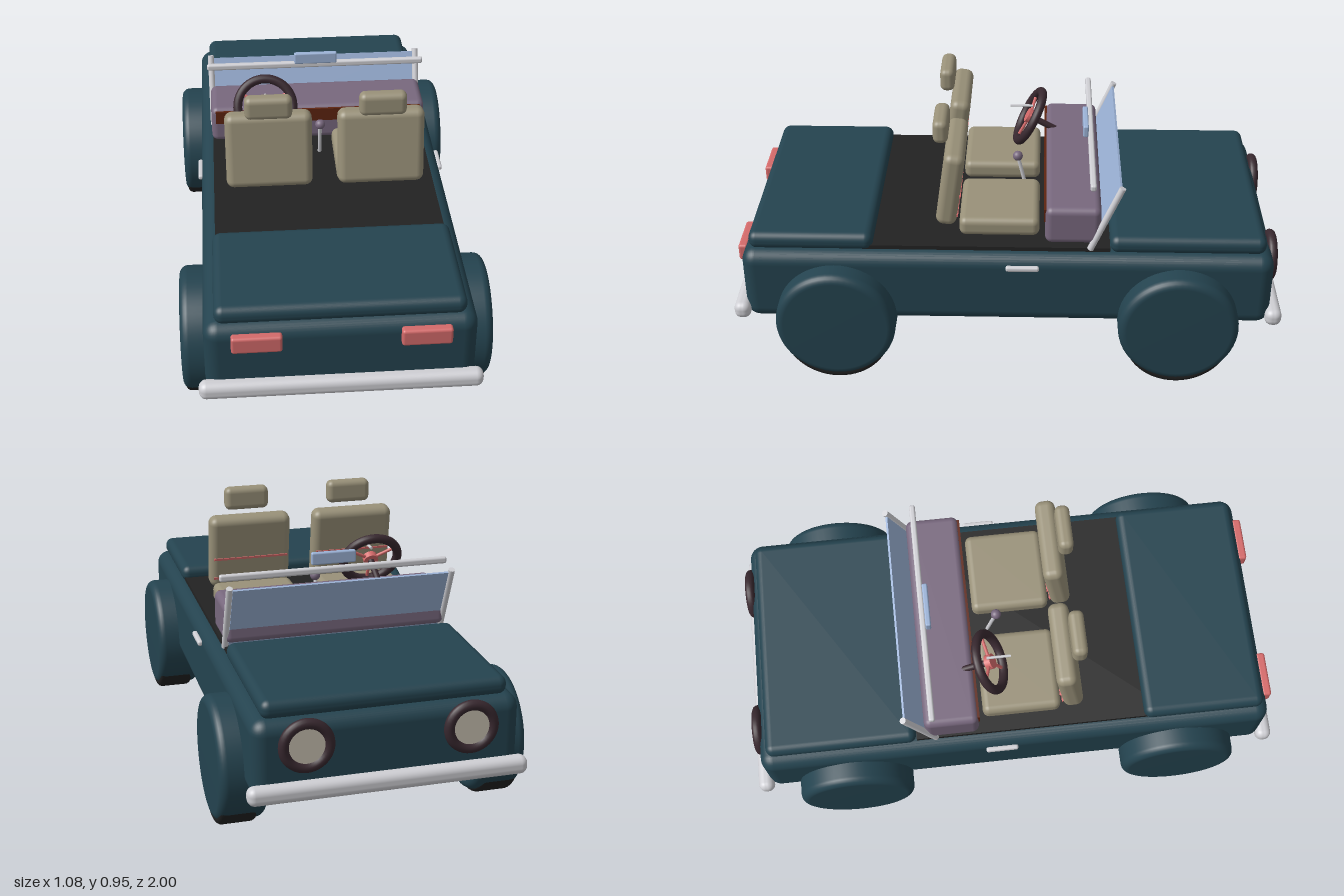
import * as THREE from 'three';
import { RoundedBoxGeometry } from 'three/addons/geometries/RoundedBoxGeometry.js';

const mat = (name, color) => {
  const m = new THREE.MeshStandardMaterial({ color });
  m.name = name;
  return m;
};

export function createModel() {
  const car = new THREE.Group();
  car.name = 'car';
  const paint = mat('teal paint', 0x24434f);
  const beige = mat('beige upholstery', 0x999179);
  const chrome = mat('light metal', 0xcfcfd4);
  const black = mat('black rubber', 0x222222);
  const red = mat('soft red', 0xd46a6a);
  const glass = mat('blue glass', 0x9bb2d6);
  glass.side = THREE.DoubleSide;
  const wood = mat('brown wood', 0x5e2410);
  const purple = mat('muted purple', 0x78687e);
  const dark = mat('dark plum', 0x38282f);
  const cream = mat('cream lens', 0xc8c0b0);

  const add = (name, geo, material, x = 0, y = 0, z = 0, parent = car) => {
    const m = new THREE.Mesh(geo, material);
    m.name = name;
    m.position.set(x, y, z);
    parent.add(m);
    return m;
  };
  const rbox = (w, h, d, r) => new RoundedBoxGeometry(w, h, d, 4, r);
  // round bar between two points
  const bar = (name, a, b, r, material, parent = car) => {
    const p = new THREE.Vector3(...a), q = new THREE.Vector3(...b);
    const m = add(name, new THREE.CylinderGeometry(r, r, p.distanceTo(q), 16), material, 0, 0, 0, parent);
    m.position.copy(p).add(q).multiplyScalar(0.5);
    m.quaternion.setFromUnitVectors(new THREE.Vector3(0, 1, 0), q.sub(p).normalize());
    return m;
  };
  // disc with rounded rims, axis along x
  const roundedDisc = (radius, width, fillet) => {
    const pts = [new THREE.Vector2(0, -width / 2)];
    for (const side of [-1, 1]) {
      for (let i = 0; i <= 6; i++) {
        const a = (i / 6) * Math.PI / 2 + (side < 0 ? -Math.PI / 2 : 0);
        pts.push(new THREE.Vector2(radius - fillet + fillet * Math.cos(a),
          side * (width / 2 - fillet) + fillet * Math.sin(a)));
      }
    }
    pts.push(new THREE.Vector2(0, width / 2));
    return new THREE.LatheGeometry(pts, 56).rotateZ(Math.PI / 2);
  };

  // body shell, lids and cabin floor
  add('body', rbox(0.915, 0.285, 1.92, 0.05), paint, 0, 0.3575, 0);
  add('bonnet', rbox(0.84, 0.066, 0.56, 0.03), paint, 0, 0.526, -0.65);
  add('bootLid', rbox(0.84, 0.066, 0.45, 0.03), paint, 0, 0.526, 0.71);
  add('cabinFloor', new THREE.BoxGeometry(0.82, 0.03, 0.97), black, 0, 0.5, 0.115);

  // fenders and tyres
  const fender = roundedDisc(0.218, 0.17, 0.03);
  const tyre = roundedDisc(0.195, 0.135, 0.02);
  for (const x of [-1, 1]) {
    for (const z of [-0.622, 0.622]) {
      add('fender', fender, paint, x * 0.455, 0.24, z);
      add('tyre', tyre, black, x * 0.465, 0.2, z);
    }
  }

  // bumpers
  for (const z of [-0.97, 0.97]) add('bumper', rbox(0.96, 0.064, 0.06, 0.026), chrome, 0, 0.257, z);

  // lamps and door handles
  for (const s of [-1, 1]) {
    add('tailLight', rbox(0.17, 0.064, 0.035, 0.01), red, s * 0.282, 0.445, 0.966);
    add('headlightRim', new THREE.TorusGeometry(0.077, 0.018, 14, 40), dark, s * 0.28, 0.412, -0.965);
    add('headlightLens', new THREE.CylinderGeometry(0.075, 0.075, 0.02, 40).rotateX(Math.PI / 2),
      cream, s * 0.28, 0.412, -0.962);
    add('doorHandle', rbox(0.02, 0.02, 0.12, 0.008), chrome, s * 0.462, 0.457, -0.055);
  }

  // windscreen leaning towards the bonnet
  for (const s of [-1, 1]) {
    bar('windscreenPost', [s * 0.407, 0.51, -0.298], [s * 0.407, 0.765, -0.405], 0.012, chrome);
  }
  const pane = add('windscreenGlass', new THREE.BoxGeometry(0.79, 0.265, 0.008), glass, 0, 0.633, -0.35);
  pane.rotation.x = -Math.atan2(0.107, 0.255);
  add('windscreenRail', rbox(0.845, 0.025, 0.022, 0.008), chrome, 0, 0.77, -0.302);
  add('mirror', rbox(0.165, 0.046, 0.02, 0.006), glass, 0, 0.808, -0.282);

  // dashboard
  add('dashboard', rbox(0.825, 0.145, 0.2, 0.025), purple, 0, 0.603, -0.235);
  add('dashPanel', new THREE.BoxGeometry(0.79, 0.052, 0.009), wood, 0, 0.64, -0.1345);

  // seats
  for (const s of [-1, 1]) {
    const seat = new THREE.Group();
    seat.name = 'seat';
    seat.position.x = s * 0.204;
    car.add(seat);
    add('cushion', rbox(0.31, 0.072, 0.29, 0.025), beige, 0, 0.56, 0.03, seat);
    const back = new THREE.Group();
    back.name = 'seatBack';
    back.position.set(0, 0.71, 0.205);
    back.rotation.x = -0.14;
    seat.add(back);
    add('backrest', rbox(0.315, 0.288, 0.075, 0.028), beige, 0, 0, 0, back);
    for (const y of [-0.1, -0.02]) {
      add('piping', new THREE.BoxGeometry(0.29, 0.008, 0.006), red, 0, y, -0.038, back);
    }
    add('headrest', rbox(0.17, 0.088, 0.054, 0.022), beige, 0, 0.907, 0.24, seat);
  }

  // steering wheel, local z points to the driver
  const wheel = new THREE.Group();
  wheel.name = 'steeringWheel';
  wheel.position.set(-0.205, 0.72, -0.073);
  wheel.rotation.x = -Math.atan2(0.105, 0.2);
  car.add(wheel);
  add('wheelRim', new THREE.TorusGeometry(0.105, 0.017, 14, 44), dark, 0, 0, 0, wheel);
  add('wheelHub', new THREE.CylinderGeometry(0.028, 0.028, 0.024, 24).rotateX(Math.PI / 2), red, 0, 0, 0, wheel);
  for (let i = 0; i < 3; i++) {
    const a = Math.PI / 2 + (i * 2 * Math.PI) / 3 + Math.PI;
    bar('spoke', [0, 0, 0], [0.1 * Math.cos(a), 0.1 * Math.sin(a), 0], 0.006, red, wheel);
  }
  bar('steeringColumn', [-0.205, 0.715, -0.08], [-0.205, 0.65, -0.2], 0.012, dark);
  bar('columnStalk', [-0.205, 0.765, 0.003], [-0.205, 0.765, -0.085], 0.005, chrome);

  // gear lever
  bar('gearLever', [0, 0.51, -0.065], [0, 0.65, -0.032], 0.007, chrome);
  add('gearKnob', new THREE.SphereGeometry(0.019, 20, 14), purple, 0, 0.658, -0.03);

  return car;
}
